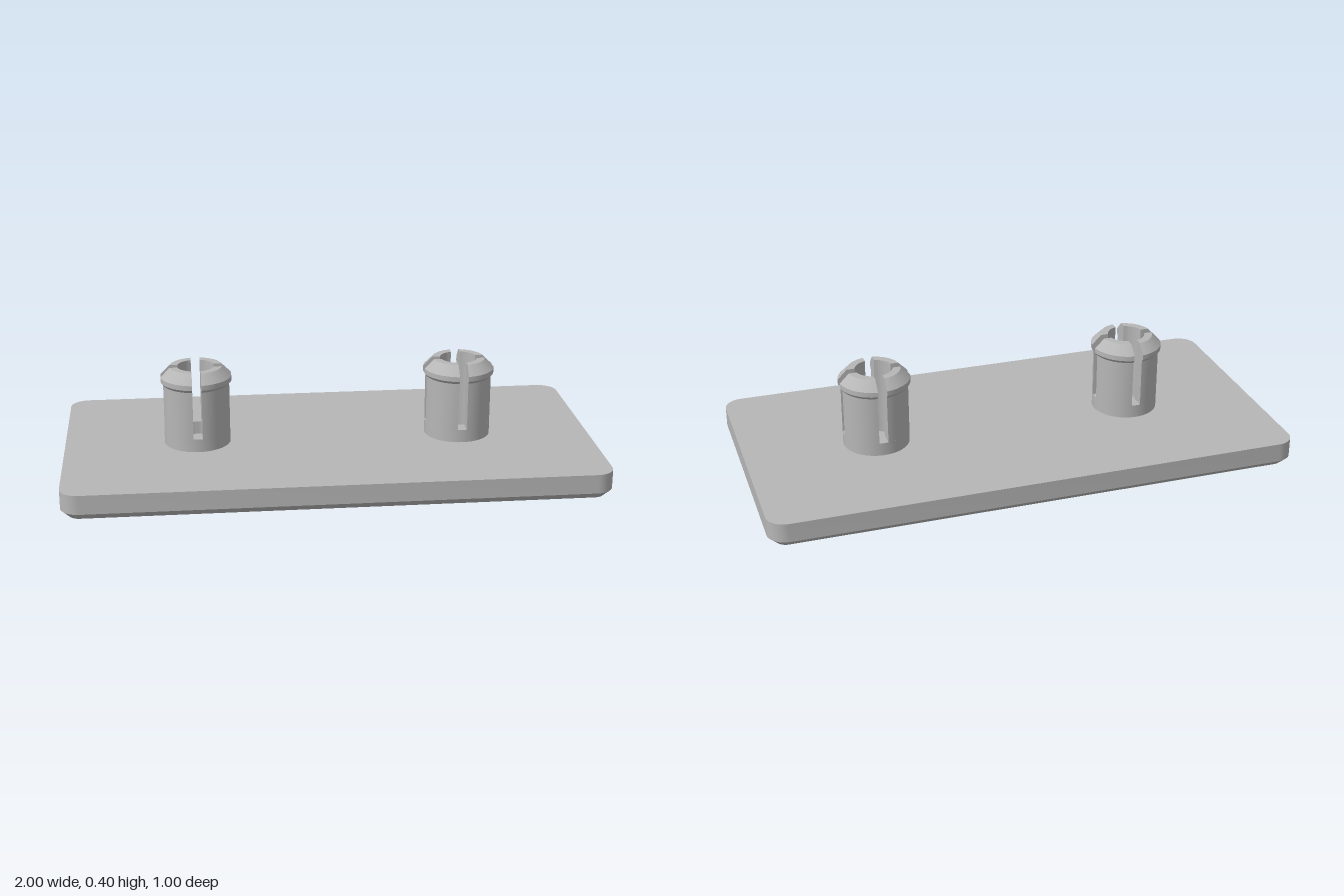
import * as THREE from 'three';
import { toCreasedNormals } from 'three/addons/utils/BufferGeometryUtils.js';

const CREASE = 0.4;

// Solid skinned over matching closed rings of Vector3; the counter-clockwise outline closes both ends.
function loft(rings, outline) {
  const pos = [];
  const tri = (...corners) => corners.forEach((p) => pos.push(p.x, p.y, p.z));
  for (let i = 0; i < rings.length - 1; i++) {
    const lower = rings[i], upper = rings[i + 1];
    for (let j = 0; j < lower.length; j++) {
      const k = (j + 1) % lower.length;
      tri(lower[j], upper[j], upper[k]);
      tri(lower[j], upper[k], lower[k]);
    }
  }
  const first = rings[0], last = rings[rings.length - 1];
  for (const [a, b, c] of THREE.ShapeUtils.triangulateShape(outline, [])) {
    tri(first[a], first[b], first[c]);
    tri(last[a], last[c], last[b]);
  }
  const geometry = new THREE.BufferGeometry();
  geometry.setAttribute('position', new THREE.Float32BufferAttribute(pos, 3));
  return toCreasedNormals(geometry, CREASE);
}

// Rounded rectangle ring, inset from the full plate size
function plateRing(inset, y) {
  const corner = 0.07, steps = 10, ring = [];
  const signs = [[1, 1], [-1, 1], [-1, -1], [1, -1]];
  signs.forEach(([sx, sz], q) => {
    for (let i = 0; i <= steps; i++) {
      const t = (q + i / steps) * Math.PI / 2;
      ring.push(new THREE.Vector3(
        sx * (1 - corner) + (corner - inset) * Math.cos(t),
        y,
        sz * (0.5 - corner) + (corner - inset) * Math.sin(t)));
    }
  });
  return ring;
}

// One quarter of the slotted peg, with parallel slot walls
function prongGeometry() {
  const halfSlot = 0.017, steps = 14;
  const profile = [
    [0.07, 0.15], [0.125, 0.15], [0.125, 0.334], [0.134, 0.345],
    [0.134, 0.364], [0.099, 0.4], [0.07, 0.4],
  ].map(([r, y]) => new THREE.Vector2(r, y));
  const rings = [];
  for (let i = 0; i <= steps; i++) {
    rings.push(profile.map(({ x: r, y }) => {
      const edge = Math.asin(halfSlot / r);
      const t = THREE.MathUtils.lerp(Math.PI / 2 - edge, edge, i / steps);
      return new THREE.Vector3(r * Math.cos(t), y, r * Math.sin(t));
    }));
  }
  return loft(rings, profile);
}

export function createModel() {
  const model = new THREE.Group();
  model.name = 'pegPlate';
  const gray = new THREE.MeshStandardMaterial({ color: 0xb6b6b6 });
  gray.name = 'gray';

  const add = (parent, name, geometry) => {
    const mesh = new THREE.Mesh(geometry, gray);
    mesh.name = name;
    parent.add(mesh);
    return mesh;
  };

  // Plate with rounded corners and a chamfered lower edge
  const rings = [plateRing(0.03, 0), plateRing(0, 0.028), plateRing(0, 0.1)];
  add(model, 'plate', loft(rings, rings[2].map((p) => new THREE.Vector2(p.x, p.z))));

  // Hollow collar below the slots
  const collar = toCreasedNormals(new THREE.LatheGeometry(
    [[0.125, 0.1], [0.125, 0.15], [0.07, 0.15], [0.07, 0.1]].map(([r, y]) => new THREE.Vector2(r, y)),
    64), CREASE);
  const prong = prongGeometry();

  // Two snap pegs, each split into four prongs
  for (const side of [1, -1]) {
    const peg = new THREE.Group();
    peg.name = side > 0 ? 'leftPeg' : 'rightPeg';
    peg.position.x = side * 0.5;
    add(peg, 'collar', collar);
    for (let q = 0; q < 4; q++) add(peg, 'prong', prong).rotation.y = q * Math.PI / 2;
    model.add(peg);
  }
  return model;
}
